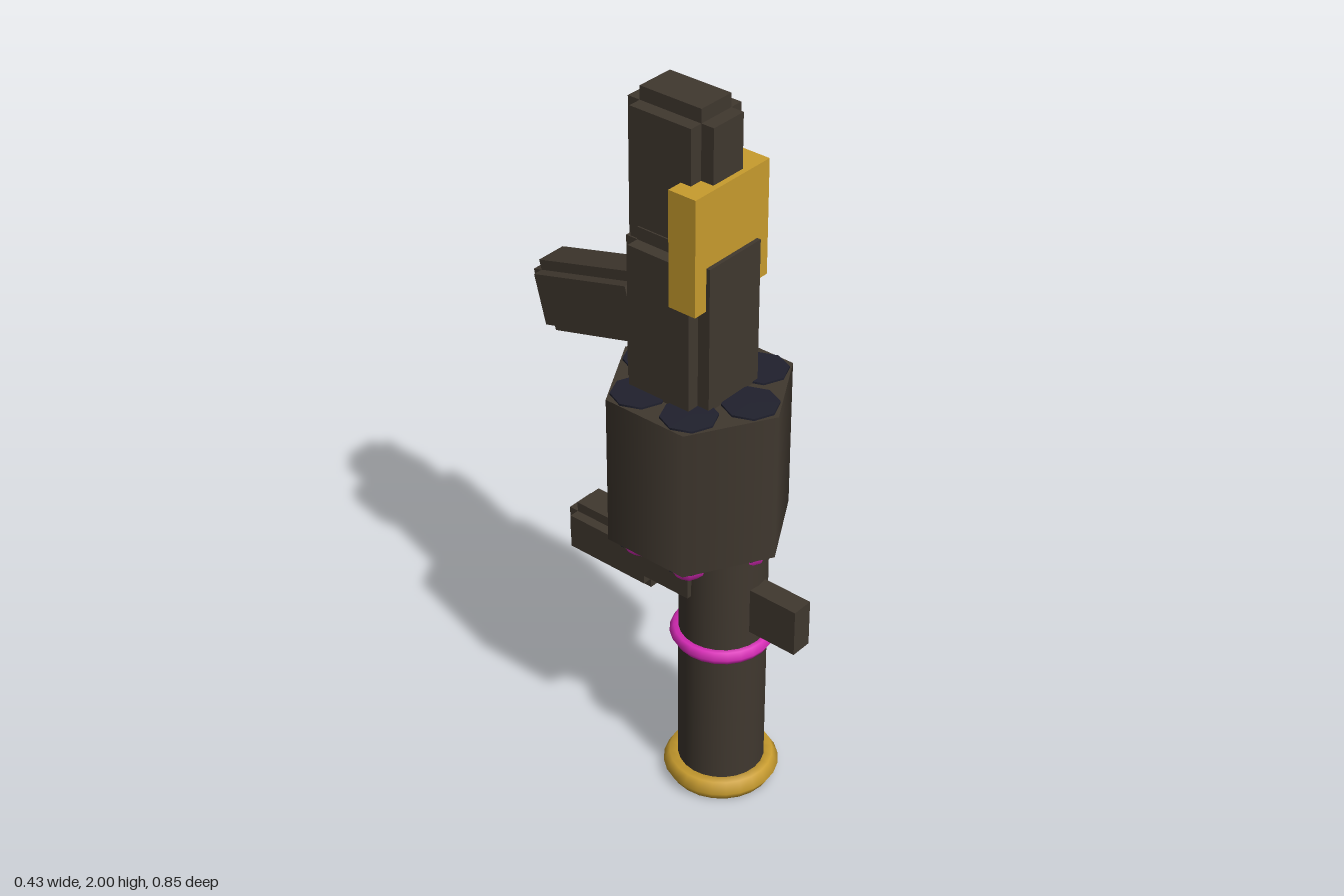
import * as THREE from 'three';

const paint = (name, color) => Object.assign(new THREE.MeshStandardMaterial({ color }), { name });

export function createModel() {
  const brown = paint('dark brown', 0x40382f);
  const navy = paint('dark navy', 0x20212e);
  const gold = paint('gold', 0xc89c2e);
  const magenta = paint('magenta', 0xd92bb8);
  const model = new THREE.Group();
  model.name = 'launcher';

  function add(name, geometry, material, x, y, z, parent = model) {
    const mesh = new THREE.Mesh(geometry, material);
    mesh.name = name;
    mesh.position.set(x, y, z);
    parent.add(mesh);
    return mesh;
  }

  // Box with stepped edges: three crossing boxes, each longer by s along one axis (half sizes)
  function steppedBox(name, hx, hy, hz, s, x, y, z) {
    const group = new THREE.Group();
    group.name = name;
    group.position.set(x, y, z);
    const slab = (axis, a, b, c) =>
      add(`${name} ${axis}`, new THREE.BoxGeometry(2 * a, 2 * b, 2 * c), brown, 0, 0, 0, group);
    slab('wide slab', hx, hy - s, hz - s);
    slab('tall slab', hx - s, hy, hz - s);
    slab('deep slab', hx - s, hy - s, hz);
    model.add(group);
    return group;
  }

  function ring(name, radius, tube, y, material) {
    add(name, new THREE.TorusGeometry(radius, tube, 6, 24), material, 0, y, 0.172).rotation.x = Math.PI / 2;
  }

  // Barrel and its rings
  add('barrel', new THREE.CylinderGeometry(0.117, 0.117, 0.82, 24), brown, 0, 0.415, 0.172);
  ring('muzzleRing', 0.123, 0.033, 0.033, gold);
  ring('barrelRing', 0.119, 0.021, 0.482, magenta);

  // Front sight block with a small gold underside
  add('sightBlock', new THREE.BoxGeometry(0.062, 0.135, 0.16), brown, 0, 0.613, 0.35);
  add('sightUnderside', new THREE.BoxGeometry(0.05, 0.006, 0.05), gold, 0, 0.544, 0.4);

  // Hexagonal drum with six chambers and round tips
  add('drum', new THREE.CylinderGeometry(0.247, 0.247, 0.425, 6).toNonIndexed(), brown, 0, 1.007, 0.09);
  for (let i = 0; i < 6; i++) {
    const a = (i * Math.PI) / 3;
    const x = 0.16 * Math.sin(a);
    const z = 0.09 + 0.16 * Math.cos(a);
    add('chamber', new THREE.CylinderGeometry(0.073, 0.073, 0.436, 8), navy, x, 1.007, z);
    add('roundTip', new THREE.SphereGeometry(0.053, 8, 6), magenta, x, 0.783, z);
  }

  // Receiver, upper stock and shoulder plate
  steppedBox('receiver', 0.13, 0.52, 0.13, 0.035, 0, 1.135, 0.065);
  steppedBox('upperStock', 0.091, 0.23, 0.13, 0.037, 0, 1.772, 0.039);
  add('shoulderPlate', new THREE.BoxGeometry(0.272, 0.315, 0.082), gold, 0, 1.66, 0.143);

  // Grips
  steppedBox('foregrip', 0.07, 0.078, 0.157, 0.028, 0, 0.613, -0.168);
  steppedBox('rearGrip', 0.072, 0.098, 0.186, 0.028, 0, 1.346, -0.227).rotation.x = -Math.PI / 12;

  return model;
}
